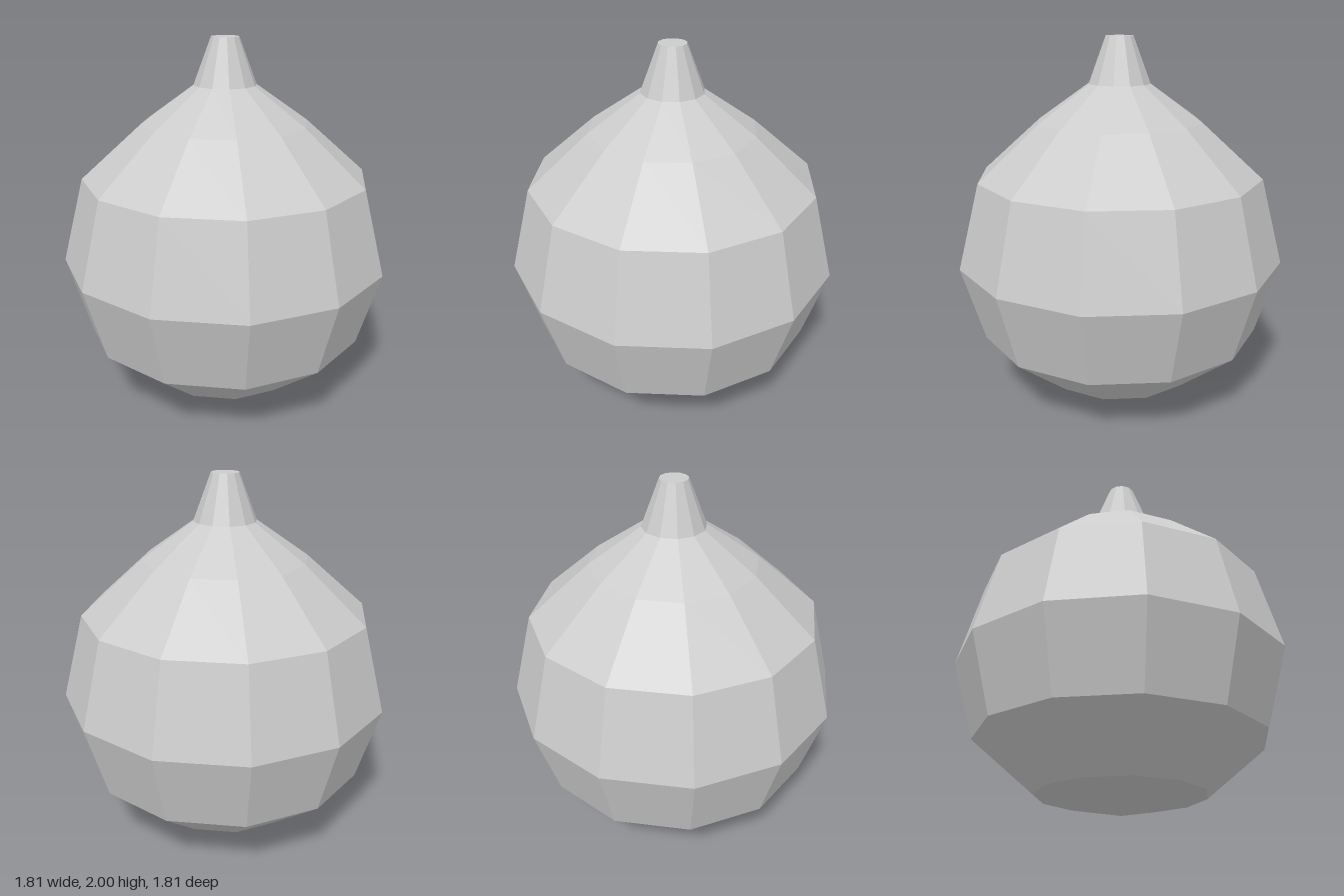
import * as THREE from 'three';

const SIDES = 12;

export function createModel() {
  const group = new THREE.Group();
  const material = new THREE.MeshStandardMaterial({ color: 0xcccccc, flatShading: true });

  const add = (name, geometry) => {
    const mesh = new THREE.Mesh(geometry, material);
    mesh.name = name;
    group.add(mesh);
    return mesh;
  };

  // Round faceted body, from the bottom pole up to the base of the neck
  const profile = [
    [0, 0], [0.453, 0.097], [0.785, 0.373], [0.906, 0.79],
    [0.785, 1.255], [0.453, 1.55], [0.17, 1.75],
  ].map(([r, y]) => new THREE.Vector2(r, y));
  add('body', new THREE.LatheGeometry(profile, SIDES));

  // Tapered neck with its flat top
  const neck = add('neck', new THREE.CylinderGeometry(0.075, 0.17, 0.25, SIDES));
  neck.position.y = 1.875;

  return group;
}
